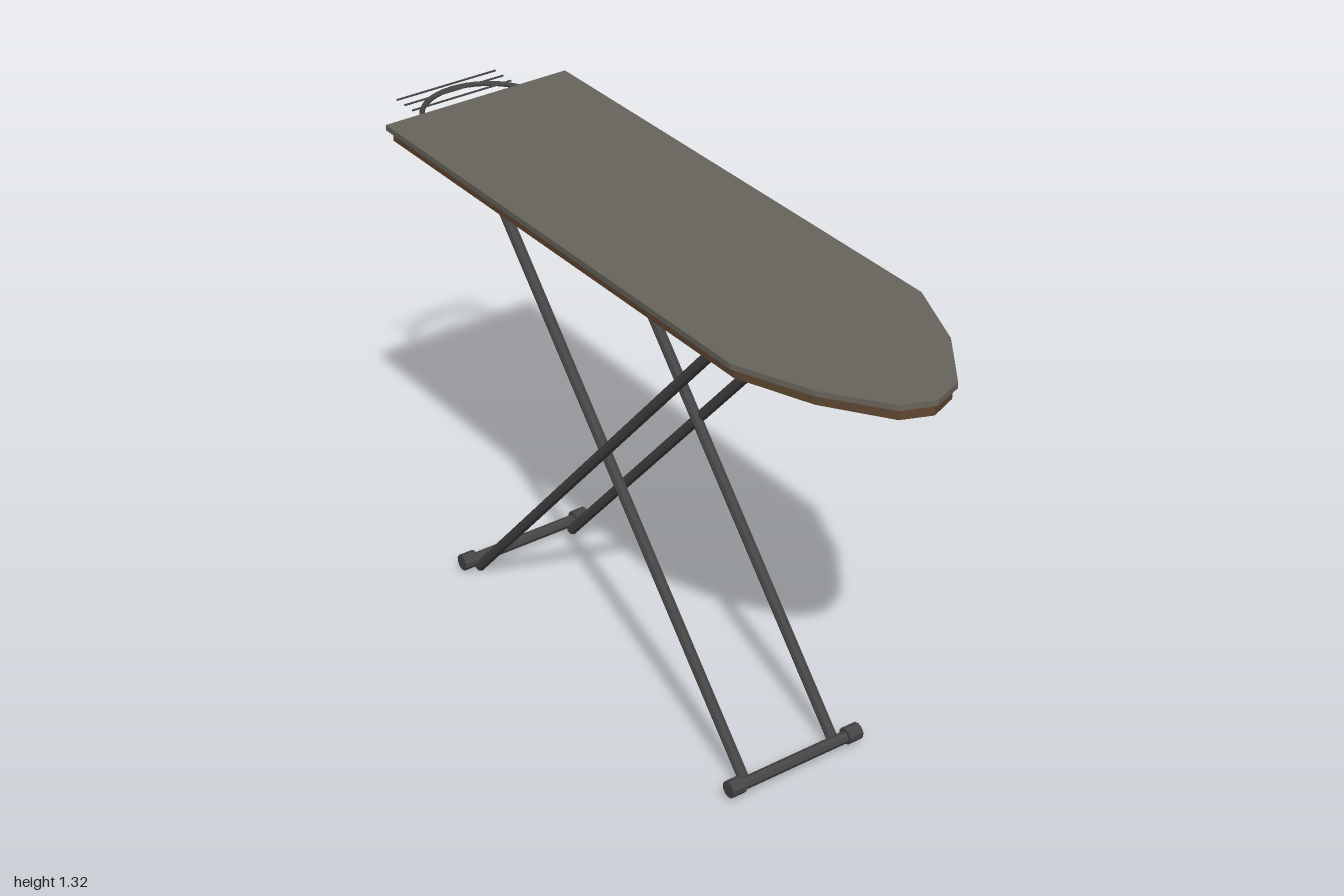
import * as THREE from 'three';

const flat = (name, color) => {
  const m = new THREE.MeshStandardMaterial({ color, flatShading: true });
  m.name = name;
  return m;
};

export function createModel() {
  const model = new THREE.Group();
  model.name = 'ironingBoard';
  const fabric = flat('greyFabric', 0x68655d);
  const wood = flat('brownWood', 0x5f4731);
  const metal = flat('darkMetal', 0x454545);

  const add = (name, geometry, material) => {
    const mesh = new THREE.Mesh(geometry, material);
    mesh.name = name;
    model.add(mesh);
    return mesh;
  };

  // Straight round bar between two points
  const rod = (name, a, b, radius, sides = 8) => {
    const from = new THREE.Vector3(...a), to = new THREE.Vector3(...b);
    const dir = to.clone().sub(from);
    const mesh = add(name, new THREE.CylinderGeometry(radius, radius, dir.length(), sides), metal);
    mesh.position.copy(from).add(to).multiplyScalar(0.5);
    mesh.quaternion.setFromUnitVectors(new THREE.Vector3(0, 1, 0), dir.normalize());
  };

  // Board slabs: half outline mirrored across z, tapering to the nose at +x
  const slab = (name, half, bottom, depth, material) => {
    const mirrored = half.filter(([, z]) => z > 0).reverse().map(([x, z]) => [x, -z]);
    const outline = [...half, ...mirrored].map(([x, z]) => new THREE.Vector2(x, z));
    const geometry = new THREE.ExtrudeGeometry(new THREE.Shape(outline), { depth, bevelEnabled: false });
    geometry.rotateX(-Math.PI / 2);
    add(name, geometry, material).position.y = bottom;
  };
  slab('cover', [[-0.85, 0.275], [0.61, 0.275], [0.81, 0.194], [0.967, 0.082], [0.998, 0]], 1.309, 0.015, fabric);
  slab('boardBase', [[-0.84, 0.26], [0.605, 0.26], [0.8, 0.184], [0.957, 0.076], [0.988, 0]], 1.279, 0.03, wood);

  // Crossed legs, one pair nested inside the other, each with a capped foot bar
  for (const [label, top, foot, bar, z] of [
    ['inner', -0.605, 0.523, 0.532, 0.14],
    ['outer', 0.452, -0.677, -0.687, 0.153],
  ]) {
    for (const side of [-1, 1]) {
      rod(`${label}Leg`, [top, 1.28, side * z], [foot, 0.013, side * z], 0.015);
      rod(`${label}FootCap`, [bar, 0.038, side * 0.163], [bar, 0.038, side * 0.205], 0.023, 10);
    }
    rod(`${label}FootBar`, [bar, 0.035, -0.18], [bar, 0.035, 0.18], 0.016);
  }

  // Tray hung beneath the board
  add('tray', new THREE.BoxGeometry(0.76, 0.028, 0.23), metal).position.set(-0.08, 1.248, 0);

  // Iron rest: half hoop with cross wires
  const hoop = new THREE.TorusGeometry(0.165, 0.007, 8, 24, Math.PI);
  hoop.rotateZ(Math.PI / 2);
  hoop.rotateX(Math.PI / 2);
  add('ironRestHoop', hoop, metal).position.set(-0.807, 1.301, 0);
  for (let i = 0; i < 4; i++) {
    const x = -0.884 - i * 0.038;
    rod('ironRestWire', [x, 1.301, -0.152], [x, 1.301, 0.152], 0.003, 6);
  }
  return model;
}
